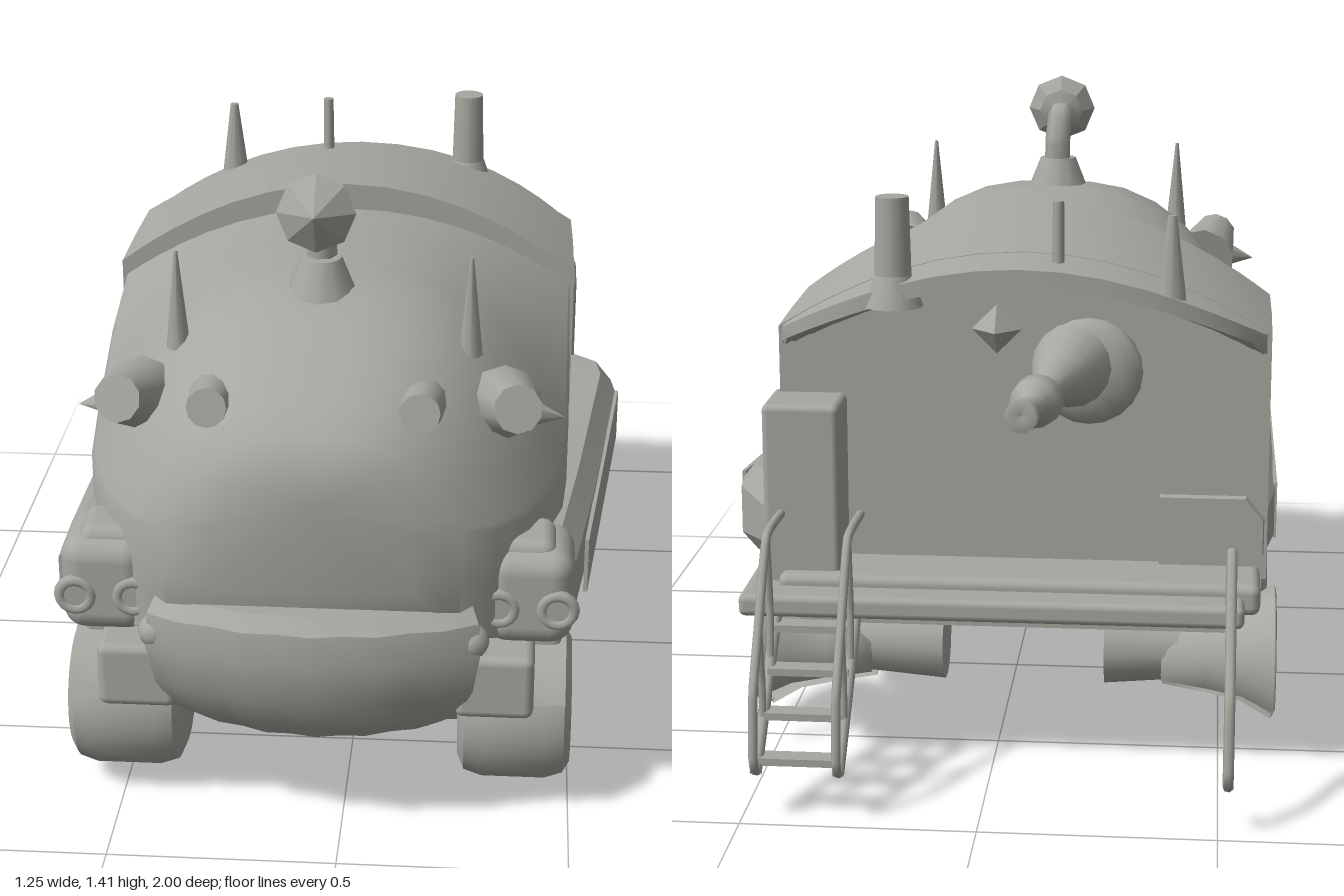
import * as THREE from 'three';
import { toCreasedNormals } from 'three/addons/utils/BufferGeometryUtils.js';
import { RoundedBoxGeometry } from 'three/addons/geometries/RoundedBoxGeometry.js';

const CX = -0.055; // centre line of the hull

export function createModel() {
  const root = new THREE.Group();
  const grey = new THREE.MeshStandardMaterial({ color: 0xa6a7a0, side: THREE.DoubleSide });
  grey.name = 'warm grey';

  const add = (name, geo, x = 0, y = 0, z = 0, parent = root) => {
    const m = new THREE.Mesh(geo, grey);
    m.name = name;
    m.position.set(x, y, z);
    parent.add(m);
    return m;
  };
  const V = p => new THREE.Vector3(...p);

  // Skin closed rings of points and cap both ends; winding is fixed by signed volume
  const loft = (rings, crease = 0.6) => {
    const n = rings[0].length, pts = rings.flat(), idx = [];
    for (let i = 0; i < rings.length - 1; i++)
      for (let j = 0; j < n; j++) {
        const a = i * n + j, b = i * n + (j + 1) % n;
        idx.push(a, b, a + n, b, b + n, a + n);
      }
    [0, rings.length - 1].forEach((r, e) => {
      const c = [0, 1, 2].map(k => rings[r].reduce((s, p) => s + p[k], 0) / n);
      pts.push(c);
      for (let j = 0; j < n; j++) {
        const a = r * n + j, b = r * n + (j + 1) % n;
        idx.push(...(e ? [a, b, pts.length - 1] : [b, a, pts.length - 1]));
      }
    });
    let vol = 0;
    for (let i = 0; i < idx.length; i += 3)
      vol += V(pts[idx[i]]).dot(V(pts[idx[i + 1]]).cross(V(pts[idx[i + 2]])));
    if (vol < 0) idx.reverse();
    const g = new THREE.BufferGeometry();
    g.setAttribute('position', new THREE.Float32BufferAttribute(pts.flat(), 3));
    g.setIndex(idx);
    return toCreasedNormals(g, crease);
  };

  // Hull section: upright sides below an arched roof; a higher power gives a fuller arch
  const arch = ([z, w, yb, ys, yt, power = 2]) => {
    const ring = [[CX - w, yb, z], [CX - w, (yb + ys) / 2, z]];
    for (let i = 0; i <= 18; i++) {
      const t = -Math.cos(Math.PI * i / 18);
      ring.push([CX + w * t, ys + (yt - ys) * (1 - Math.abs(t) ** power), z]);
    }
    ring.push([CX + w, (yb + ys) / 2, z], [CX + w, yb, z]);
    return ring;
  };
  const hull = (name, rows, crease) => add(name, loft(rows.map(arch), crease));

  // Cab and main hull
  hull('cabHull', [
    [-0.1, 0.537, 0.4, 0.94, 1.115, 2.1], [0.15, 0.537, 0.4, 0.88, 1.13, 2.4], [0.38, 0.535, 0.4, 0.78, 1.145, 2.9],
    [0.53, 0.525, 0.4, 0.74, 1.145, 2.9], [0.63, 0.5, 0.42, 0.73, 1.11, 2.9], [0.75, 0.45, 0.45, 0.73, 1.06, 3],
    [0.84, 0.385, 0.48, 0.74, 1.015, 3], [0.9, 0.31, 0.54, 0.75, 0.965, 3], [0.935, 0.21, 0.63, 0.78, 0.92, 3],
  ], 0.85);
  // Raised rear hood with end wall
  hull('rearHood', [
    [-0.08, 0.548, 0.4, 0.97, 1.178], [-0.3, 0.548, 0.4, 0.965, 1.155], [-0.48, 0.545, 0.4, 0.96, 1.135],
  ]);
  // Thin arched overhang, swept back toward its corners
  add('hoodOverhang', loft(Array.from({ length: 19 }, (_, i) => {
    const t = -Math.cos(Math.PI * i / 18), x = CX + 0.543 * t, rise = 0.175 * (1 - t * t);
    const z = -0.485 - 0.12 * (1 - t ** 4);
    return [[x, 0.96 + rise, -0.47], [x * 0.98, 0.96 + rise * 0.9, z], [x * 0.98, 0.93 + rise * 0.85, z], [x, 0.9 + rise * 0.9, -0.47]];
  })));

  // Front bumper: stacked plan outlines with a bowed front
  add('bumper', loft([
    [0.23, 0.27, 0.86], [0.3, 0.31, 0.94], [0.38, 0.34, 0.98], [0.48, 0.355, 1.0], [0.55, 0.35, 0.99], [0.58, 0.335, 0.96],
  ].map(([y, w, zf]) => {
    const ring = [[CX - w, y, 0.6]];
    for (let i = -5; i <= 5; i++) ring.push([CX + w * i / 5, y, zf - 0.075 * (i / 5) ** 2 - (i % 2 ? 0.008 : 0)]);
    ring.push([CX + w, y, 0.6]);
    return ring;
  })));

  // Belly rising toward the tail, skirt and rear deck
  add('belly', loft([
    [-0.6, 0.33, 0.3], [-0.2, 0.24, 0.3], [0.2, 0.2, 0.3], [0.75, 0.2, 0.3], [0.84, 0.26, 0.28],
  ].map(([z, y, w]) => [[CX - w, 0.42, z], [CX - w, y + 0.06, z], [CX - w + 0.06, y, z],
    [CX + w - 0.06, y, z], [CX + w, y + 0.06, z], [CX + w, 0.42, z]])));
  add('skirt', new RoundedBoxGeometry(1.06, 0.07, 1.35, 2, 0.02), CX, 0.4, 0.03);
  add('rearDeck', new RoundedBoxGeometry(1.1, 0.05, 0.27, 2, 0.015), 0, 0.385, -0.585);
  add('deckLip', new THREE.BoxGeometry(0.94, 0.05, 0.16), -0.04, 0.345, -0.54);
  add('rearLocker', new RoundedBoxGeometry(0.17, 0.42, 0.17, 2, 0.015), 0.425, 0.6, -0.525);

  // Side pods: the left one swells outward toward the rear
  const pod = (name, s, rows) => add(name, loft(rows.map(([z, out, y0, y1]) => {
    const o = s * out, inn = s * 0.36;
    return [[inn, y0, z], [o - s * 0.035, y0, z], [o, y0 + 0.04, z], [o, y1 - 0.05, z], [o - s * 0.04, y1, z], [inn, y1, z]];
  }), 0.4));
  pod('leftSidePod', 1, [[0.8, 0.44, 0.46, 0.67], [0.7, 0.5, 0.44, 0.65], [0.3, 0.55, 0.42, 0.63],
    [-0.3, 0.615, 0.41, 0.61], [-0.38, 0.605, 0.41, 0.61], [-0.5, 0.52, 0.42, 0.59]]);
  pod('rightSidePod', -1, [[0.8, 0.61, 0.46, 0.67], [0.6, 0.62, 0.43, 0.65], [-0.3, 0.62, 0.41, 0.61], [-0.5, 0.59, 0.42, 0.59]]);
  const panel = add('leftPodPanel', new THREE.BoxGeometry(0.009, 0.13, 0.84), 0.572, 0.505, 0.13);
  panel.rotation.y = -0.108;
  add('rightPodPanel', new THREE.BoxGeometry(0.009, 0.13, 0.84), -0.621, 0.505, 0.13);

  // Wheels: tyre with rounded shoulders, shallow rim and hub
  const tyre = [[0, 0.1], [0.1, 0.1], [0.108, 0.09], [0.115, 0.112], [0.14, 0.125], [0.165, 0.11],
    [0.178, 0.07], [0.178, -0.07], [0.165, -0.11], [0.13, -0.125], [0, -0.12]].map(p => new THREE.Vector2(...p));
  const tyreGeo = toCreasedNormals(new THREE.LatheGeometry(tyre, 28), 0.7);
  const shell = [[0.0, -0.16], [0.08, -0.15], [0.1, -0.05], [0.12, 0.03], [0.165, 0.1], [0.155, 0.105],
    [0.11, 0.04], [0.07, 0.0], [0, 0.01]].map(p => new THREE.Vector2(...p));
  for (const s of [1, -1]) {
    const side = s > 0 ? 'left' : 'right', x = s > 0 ? 0.375 : -0.49;
    [[0.63, 0.21], [0.11, s > 0 ? 0.18 : 0.205]].forEach(([z, y], i) => {
      const w = add(side + (i ? 'MiddleWheel' : 'FrontWheel'), tyreGeo, x, y, z);
      w.rotation.z = -s * Math.PI / 2;
      const axle = add(side + 'AxleHousing', new THREE.CylinderGeometry(0.07, 0.08, 0.34, 14), x - s * 0.22, y + 0.02, z);
      axle.rotation.z = -s * Math.PI / 2;
      const guard = add(side + 'WheelArch', new THREE.CylinderGeometry(0.2, 0.2, 0.22, 20, 1, true, s > 0 ? 3.6 : 0.46, 2.2), x, y - 0.005, z);
      guard.rotation.z = -s * Math.PI / 2;
    });
    // Broken rear wheel: a flared open shell
    const rear = add(side + 'RearWheelShell',
      new THREE.LatheGeometry(shell, 26, THREE.MathUtils.degToRad(s > 0 ? 150 : 280), THREE.MathUtils.degToRad(290)),
      s > 0 ? 0.44 : -0.52, 0.2, -0.43);
    rear.rotation.z = -s * Math.PI / 2;
    const rearAxle = add(side + 'RearAxle', new THREE.CylinderGeometry(0.065, 0.09, 0.3, 14), x - s * 0.1, 0.22, -0.43);
    rearAxle.rotation.z = -s * Math.PI / 2;
    // Suspension brackets and lower tie bar
    for (const z of [0.36, -0.16])
      add(side + 'Bracket', new THREE.CylinderGeometry(0.12, 0.04, 0.13, 8), x - s * 0.06, 0.32, z);
    add(side + 'Damper', new THREE.SphereGeometry(0.065, 12, 8), x - s * 0.08, 0.2, -0.12).scale.y = 1.6;
    add(side + 'TieBar', new THREE.BoxGeometry(0.05, 0.03, 0.4), x - s * 0.08, 0.09, 0.33);

    // Headlight cluster and the fender below it
    const hx = CX + s * 0.455;
    add(side + 'HeadlightHousing', new RoundedBoxGeometry(0.19, 0.22, 0.2, 3, 0.05), hx, 0.565, 0.74);
    add(side + 'HeadlightBrow', new RoundedBoxGeometry(0.13, 0.08, 0.14, 2, 0.03), hx - s * 0.01, 0.655, 0.74);
    for (const [dx, r] of [[0.06, 0.034], [-0.065, 0.034]]) {
      add(side + 'HeadlightRing', new THREE.TorusGeometry(r, 0.013, 8, 16), hx + s * dx, 0.55, 0.835);
      add(side + 'HeadlightLens', new THREE.CircleGeometry(r, 16), hx + s * dx, 0.55, 0.842);
    }
    add(side + 'FrontLamp', new THREE.SphereGeometry(0.038, 12, 8), CX + s * 0.335, 0.5, 0.89);
    add(side + 'FrontFender', new RoundedBoxGeometry(0.17, 0.15, 0.2, 2, 0.02), CX + s * 0.385, 0.375, 0.78);

    // Roof lamps: outer trumpet with side nub, and inner bulb
    const horn = add(side + 'OuterRoofLamp', new THREE.CylinderGeometry(0.052, 0.08, 0.15, 10), CX + s * 0.405, 0.955, 0.69);
    horn.rotation.set(1.25, 0, -s * 0.2);
    add(side + 'LampNub', new THREE.ConeGeometry(0.05, 0.11, 8), CX + s * 0.465, 0.93, 0.67).rotation.z = -s * 1.7;
    const bulb = add(side + 'InnerRoofLamp', new THREE.CylinderGeometry(0.042, 0.055, 0.13, 12), CX + s * 0.22, 0.985, 0.78);
    bulb.rotation.x = 1.35;
    // Front whip antenna
    add(side + 'FrontAntenna', new THREE.CylinderGeometry(0.004, 0.026, 0.22, 8), CX + s * 0.315, 1.13, 0.57);
  }

  // Tubes along bent paths
  const tube = (name, pts, r, parent) =>
    add(name, new THREE.TubeGeometry(new THREE.CatmullRomCurve3(pts.map(V), false, 'catmullrom', 0.2), 24, r, 7), 0, 0, 0, parent);

  // Sensor mast with faceted dish
  add('mastBase', new THREE.CylinderGeometry(0.045, 0.085, 0.1, 12), -0.065, 1.16, 0.5);
  tube('mast', [[-0.065, 1.15, 0.49], [-0.065, 1.25, 0.49], [-0.07, 1.31, 0.51], [-0.07, 1.33, 0.57]], 0.033);
  const dish = add('dish', toCreasedNormals(new THREE.LatheGeometry(
    [[0, -0.05], [0.055, -0.03], [0.085, 0], [0, 0.065]].map(p => new THREE.Vector2(...p)), 8), 0.3), -0.07, 1.33, 0.565);
  dish.rotation.x = Math.PI / 2 - 0.15;

  // Rear roof fittings
  add('exhaustStack', new THREE.CylinderGeometry(0.036, 0.042, 0.24, 14), 0.222, 1.145, -0.555);
  add('stackFoot', new THREE.CylinderGeometry(0.04, 0.065, 0.07, 14), 0.222, 1.06, -0.555);
  add('rearSpike', new THREE.CylinderGeometry(0.01, 0.036, 0.2, 10), -0.38, 1.13, -0.55);
  add('rearRod', new THREE.CylinderGeometry(0.012, 0.014, 0.16, 8), -0.135, 1.175, -0.53);

  // Rear nozzle
  const nozzle = add('rearNozzle', new THREE.LatheGeometry([[0.1, -0.02], [0.085, 0.06], [0.06, 0.14], [0.035, 0.23], [0.032, 0.27],
    [0.055, 0.3], [0.052, 0.34], [0.03, 0.36], [0.028, 0.4], [0.036, 0.42], [0.034, 0.44], [0, 0.43]]
    .map(p => new THREE.Vector2(...p)), 16), -0.17, 0.885, -0.47);
  nozzle.rotation.set(-Math.PI / 2 - 0.04, 0, -0.2);
  add('nozzleMount', new THREE.SphereGeometry(0.12, 14, 10), -0.2, 0.87, -0.48).scale.z = 0.4;
  add('wallLamp', new THREE.OctahedronGeometry(0.055), 0.0, 0.97, -0.52);

  // Boarding ladder and handrails
  const rail = x => [[x, 0.565, -0.6], [x, 0.565, -0.78], [x, 0.4, -0.89], [x, 0.28, -0.965], [x, 0.13, -0.985], [x, 0.1, -0.95]];
  const ladder = new THREE.Group();
  ladder.name = 'ladder';
  root.add(ladder);
  for (const x of [0.295, 0.47]) {
    tube('ladderHandrail', rail(x), 0.01, ladder);
    tube('ladderStringer', [[x, 0.37, -0.68], [x, 0.25, -0.8], [x, 0.1, -0.96]], 0.013, ladder);
    tube('ladderPost', [[x, 0.56, -0.78], [x, 0.4, -0.76], [x, 0.28, -0.77]], 0.008, ladder);
    tube('ladderPost', [[x, 0.4, -0.89], [x, 0.27, -0.87], [x, 0.19, -0.87]], 0.008, ladder);
  }
  for (let i = 0; i < 4; i++)
    add('ladderTread', new THREE.BoxGeometry(0.175, 0.016, 0.045), 0.3825, 0.34 - i * 0.073, -0.71 - i * 0.073, ladder);
  tube('rightHandrail', [[-0.52, 0.38, -0.68], ...rail(-0.52).slice(1)], 0.012);

  return root;
}
